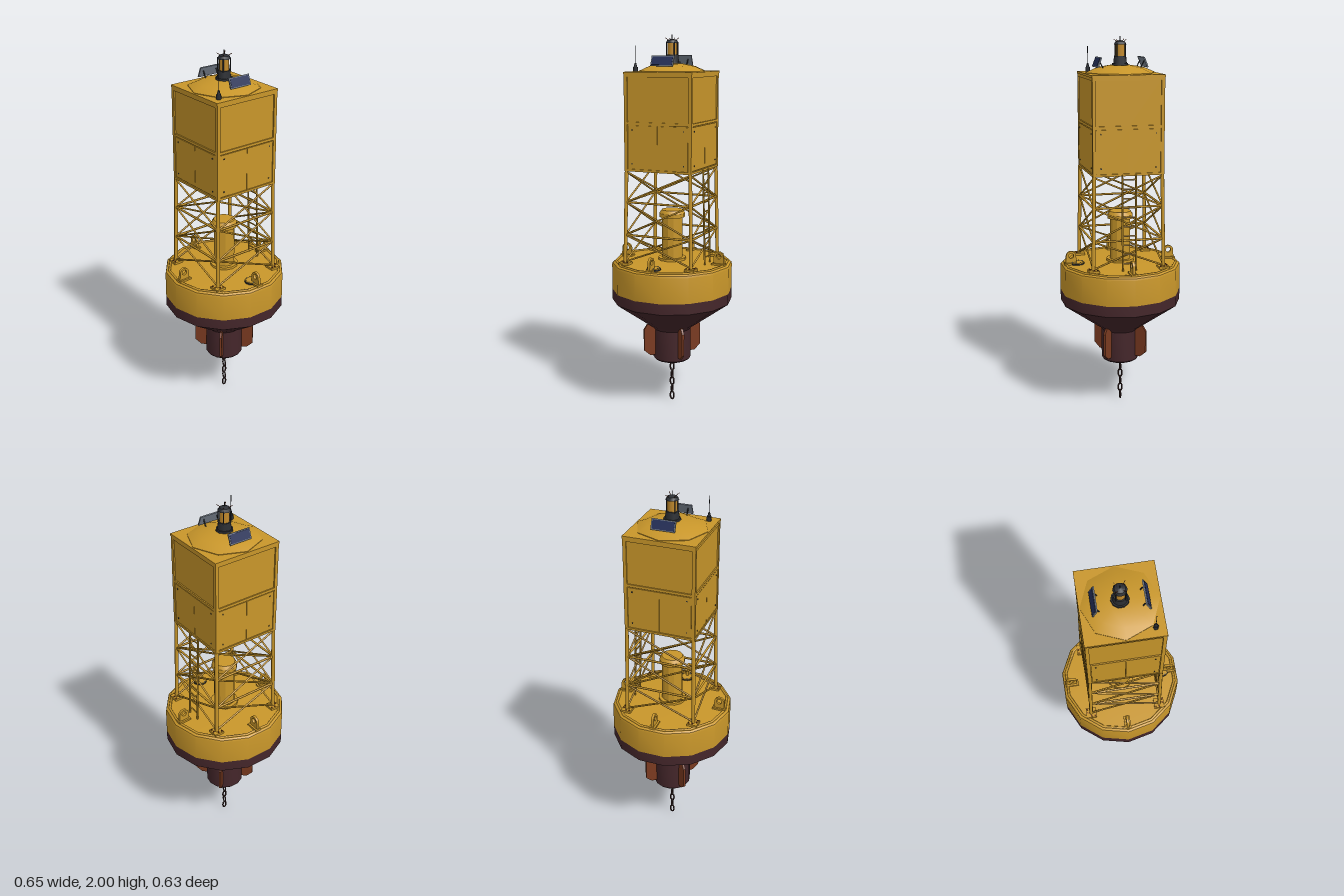
import * as THREE from 'three';
import { toCreasedNormals } from 'three/addons/utils/BufferGeometryUtils.js';

const material = (name, color) => {
  const m = new THREE.MeshStandardMaterial({ color });
  m.name = name;
  return m;
};

export function createModel() {
  const yellow = material('buoyYellow', 0xc8962a);
  const darkRed = material('antifoulingRed', 0x44262a);
  const rust = material('rust', 0x7a3a20);
  const chainMat = material('chainIron', 0x3a2524);
  const dark = material('lanternDark', 0x2b2e33);
  const blue = material('solarBlue', 0x242f58);
  const grey = material('frameGrey', 0x77808c);
  const amber = material('amberLens', 0xc28a2c);

  const model = new THREE.Group();
  model.name = 'buoy';

  const group = (name, parent = model) => {
    const g = new THREE.Group();
    g.name = name;
    parent.add(g);
    return g;
  };
  const add = (parent, name, geo, mat, x = 0, y = 0, z = 0) => {
    const mesh = new THREE.Mesh(geo, mat);
    mesh.name = name;
    mesh.position.set(x, y, z);
    parent.add(mesh);
    return mesh;
  };
  const box = (parent, name, mat, w, h, d, x, y, z) =>
    add(parent, name, new THREE.BoxGeometry(w, h, d), mat, x, y, z);
  // Upright cylinder from y0 to y1
  const drum = (parent, name, mat, r0, r1, y0, y1, sides, x = 0, z = 0) =>
    add(parent, name, new THREE.CylinderGeometry(r1, r0, y1 - y0, sides), mat, x, (y0 + y1) / 2, z);
  // Round bar between two points
  const rod = (parent, name, mat, a, b, r, sides = 6) => {
    const p = new THREE.Vector3(...a), q = new THREE.Vector3(...b);
    const dir = q.clone().sub(p);
    const mesh = add(parent, name, new THREE.CylinderGeometry(r, r, dir.length(), sides), mat);
    mesh.position.copy(p).add(q).multiplyScalar(0.5);
    mesh.quaternion.setFromUnitVectors(new THREE.Vector3(0, 1, 0), dir.normalize());
    return mesh;
  };
  // Turned shape, profile listed so that the outside faces outwards
  const lathe = (parent, name, mat, pts, sides) => {
    const geo = new THREE.LatheGeometry(pts.map(p => new THREE.Vector2(...p)), sides, Math.PI / 2);
    return add(parent, name, toCreasedNormals(geo, 0.5), mat);
  };
  const fourSides = fn => {
    for (let i = 0; i < 4; i++) fn(i * Math.PI / 2, i);
  };

  // Hull, 14-sided
  const hull = group('hull');
  lathe(hull, 'lowerHull', darkRed,
    [[0, 0.25], [0.095, 0.25], [0.102, 0.258], [0.102, 0.425], [0.112, 0.438], [0.137, 0.455],
      [0.325, 0.59], [0.325, 0.648]], 14);
  lathe(hull, 'upperHull', yellow,
    [[0.325, 0.648], [0.325, 0.785], [0.322, 0.795], [0.314, 0.801], [0.3, 0.802], [0, 0.814]], 14);
  const rim = add(hull, 'deckRim', new THREE.TorusGeometry(0.303, 0.007, 6, 14), yellow, 0, 0.803, 0);
  rim.rotation.x = Math.PI / 2;

  // Diagonal fins with a cut lower corner
  const finShape = new THREE.Shape([[0.08, 0.28], [0.13, 0.28], [0.164, 0.31], [0.164, 0.43], [0.145, 0.457],
    [0.08, 0.457]].map(p => new THREE.Vector2(...p)));
  const finGeo = new THREE.ExtrudeGeometry(finShape, { depth: 0.012, bevelEnabled: false });
  finGeo.translate(0, 0, -0.006);
  fourSides(a => { add(hull, 'fin', finGeo, rust).rotation.y = a + Math.PI / 4; });

  // Lifting eyes on their pads
  const eyeShape = new THREE.Shape();
  eyeShape.moveTo(-0.03, 0);
  eyeShape.lineTo(0.03, 0);
  eyeShape.lineTo(0.027, 0.045);
  eyeShape.absarc(0, 0.045, 0.027, 0, Math.PI, false);
  const eyeHole = new THREE.Path();
  eyeHole.absarc(0, 0.047, 0.014, 0, Math.PI * 2, true);
  eyeShape.holes.push(eyeHole);
  const eyeGeo = new THREE.ExtrudeGeometry(eyeShape, { depth: 0.014, bevelEnabled: false, curveSegments: 8 });
  eyeGeo.translate(0, 0, -0.007);
  fourSides(a => {
    const eye = group('liftingEye');
    eye.rotation.y = a;
    box(eye, 'eyePad', yellow, 0.072, 0.014, 0.034, 0.27, 0.806, 0);
    add(eye, 'eyePlate', eyeGeo, yellow, 0.271, 0.804, 0);
  });

  // Deck hatch with a bolt ring
  const hatch = group('deckHatch');
  hatch.position.z = 0.236;
  drum(hatch, 'hatchRing', dark, 0.038, 0.038, 0.8, 0.811, 12);
  drum(hatch, 'hatchLid', yellow, 0.035, 0.035, 0.808, 0.815, 12);
  for (let i = 0; i < 8; i++) {
    const a = (i + 0.5) * Math.PI / 4;
    drum(hatch, 'hatchBolt', grey, 0.003, 0.003, 0.81, 0.818, 6, 0.031 * Math.cos(a), 0.031 * Math.sin(a));
  }

  // Central column
  lathe(model, 'centralColumn', yellow,
    [[0.075, 0.8], [0.075, 0.824], [0.056, 0.824], [0.056, 1.045], [0.069, 1.045], [0.069, 1.066],
      [0.057, 1.084], [0, 1.086]], 12);

  // Lattice tower, slightly tapered
  const tower = group('tower');
  const half = y => 0.189 - (y - 0.81) * 0.018;
  const levels = [0.82, 0.965, 1.14, 1.3];
  fourSides(a => {
    const side = group('towerSide', tower);
    side.rotation.y = a;
    const at = (s, y) => [s * half(y), y, half(y)];
    rod(side, 'leg', yellow, at(1, 0.81), at(1, 1.31), 0.01, 8);
    for (let i = 0; i < 3; i++) {
      const lo = levels[i], hi = levels[i + 1];
      rod(side, 'brace', yellow, at(-1, lo), at(1, hi), 0.005);
      rod(side, 'brace', yellow, at(1, lo), at(-1, hi), 0.005);
      if (i) rod(side, 'crossBar', yellow, at(-1, lo), at(1, lo), 0.006);
    }
    box(side, 'legFoot', yellow, 0.055, 0.012, 0.055, 0.188, 0.811, 0.188);
    for (const [x, z] of [[0.207, 0.188], [0.188, 0.207], [0.169, 0.207], [0.207, 0.169]])
      drum(side, 'footBolt', rust, 0.004, 0.004, 0.815, 0.822, 6, x, z);
  });

  // Ladder on the left side
  const ladder = group('ladder');
  for (const z of [-0.036, 0.036])
    rod(ladder, 'ladderRail', yellow, [0.205, 0.805, z], [0.192, 1.31, z], 0.005);
  for (let i = 0; i < 10; i++) {
    const y = 0.845 + i * 0.049, x = 0.205 - (y - 0.805) * 0.026;
    rod(ladder, 'ladderRung', yellow, [x, y, -0.036], [x, y, 0.036], 0.004);
  }

  // Equipment housing with frame, upper panel and lower doors
  const housing = group('housing');
  box(housing, 'housingCore', yellow, 0.362, 0.495, 0.362, 0, 1.557, 0);
  box(housing, 'housingLid', yellow, 0.38, 0.012, 0.38, 0, 1.808, 0);
  box(housing, 'housingFloor', yellow, 0.376, 0.012, 0.376, 0, 1.31, 0);
  fourSides(a => {
    const side = group('housingSide', housing);
    side.rotation.y = a;
    box(side, 'cornerPost', yellow, 0.018, 0.5, 0.018, 0.179, 1.558, 0.179);
    box(side, 'topRail', yellow, 0.35, 0.018, 0.009, 0, 1.796, 0.183);
    box(side, 'middleRail', yellow, 0.35, 0.014, 0.009, 0, 1.553, 0.183);
    for (const s of [-1, 1]) {
      box(side, 'door', yellow, 0.167, 0.222, 0.006, s * 0.0843, 1.431, 0.183);
      for (const y of [1.345, 1.52])
        box(side, 'doorBolt', dark, 0.006, 0.006, 0.003, s * 0.145, y, 0.187);
    }
  });
  lathe(model, 'roofDome', yellow,
    [[0.185, 1.813], [0.185, 1.817], [0.13, 1.84], [0.06, 1.853], [0, 1.855]], 8);

  // Lantern
  const lantern = group('lantern');
  drum(lantern, 'lanternFoot', dark, 0.045, 0.043, 1.845, 1.863, 10);
  drum(lantern, 'lanternBody', dark, 0.036, 0.032, 1.863, 1.9, 10);
  drum(lantern, 'lens', amber, 0.025, 0.025, 1.9, 1.96, 10);
  drum(lantern, 'lanternCap', dark, 0.034, 0.026, 1.957, 1.972, 10);
  drum(lantern, 'lanternCrown', dark, 0.026, 0.006, 1.972, 1.979, 10);
  rod(lantern, 'topSpike', dark, [0, 1.975, 0], [0, 2, 0], 0.002);
  fourSides(a => {
    const x = Math.cos(a + Math.PI / 4), z = Math.sin(a + Math.PI / 4);
    rod(lantern, 'cageBar', dark, [0.031 * x, 1.895, 0.031 * z], [0.031 * x, 1.962, 0.031 * z], 0.003);
    rod(lantern, 'birdSpike', rust, [0.018 * x, 1.972, 0.018 * z], [0.038 * x, 1.984, 0.038 * z], 0.0015);
  });

  // Solar panels, front and back
  for (const a of [0, Math.PI]) {
    const mount = group('solarMount');
    mount.rotation.y = a;
    const panel = group('solarPanel', mount);
    panel.position.set(0, 1.869, 0.122);
    panel.rotation.x = -0.38;
    box(panel, 'panelFrame', grey, 0.125, 0.055, 0.007, 0, 0, 0);
    box(panel, 'panelCells', blue, 0.114, 0.045, 0.002, 0, 0, 0.004);
    for (const s of [-1, 1])
      rod(mount, 'panelStay', dark, [s * 0.04, 1.838, 0.098], [s * 0.04, 1.875, 0.117], 0.003);
  }

  // Whip aerial
  const aerial = group('aerial');
  drum(aerial, 'aerialBase', dark, 0.013, 0.012, 1.813, 1.838, 6, -0.143, 0.141);
  drum(aerial, 'aerialNeck', dark, 0.009, 0.004, 1.838, 1.858, 6, -0.143, 0.141);
  rod(aerial, 'aerialWhip', dark, [-0.143, 1.85, 0.141], [-0.143, 1.945, 0.141], 0.0015);

  // Mooring eye and chain of alternating links
  const chain = group('mooringChain');
  add(chain, 'mooringEye', new THREE.TorusGeometry(0.019, 0.005, 6, 14), chainMat, 0, 0.235, 0);
  const linkPath = new THREE.CatmullRomCurve3([[0.009, -0.013], [0.009, 0.013], [0, 0.023], [-0.009, 0.013],
    [-0.009, -0.013], [0, -0.023]].map(([x, y]) => new THREE.Vector3(x, y, 0)), true);
  const linkGeo = new THREE.TubeGeometry(linkPath, 20, 0.0045, 6, true);
  for (let i = 0; i < 5; i++)
    add(chain, 'link', linkGeo, chainMat, 0, 0.0275 + i * 0.0425, 0).rotation.y = (i % 2) * Math.PI / 2;

  return model;
}
